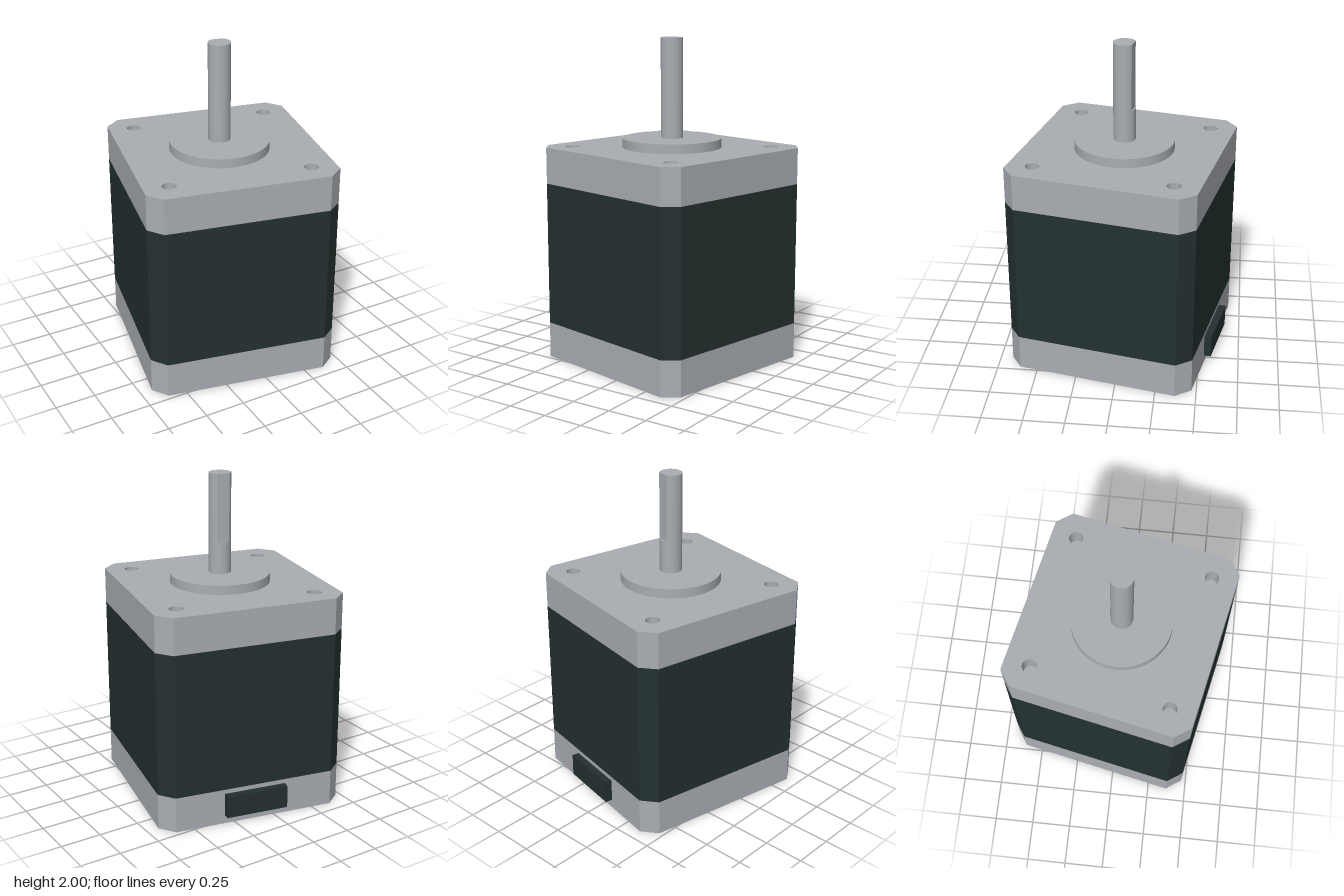
import * as THREE from 'three';
import { toCreasedNormals } from 'three/addons/utils/BufferGeometryUtils.js';

const HALF = 0.585;      // half width of the square housing
const CHAMFER = 0.084;   // corner cut
const HOLE = 0.431;      // screw hole offset from the axis
const HOLE_R = 0.043;
const CAP_Y = 1.11, TOP_Y = 1.333, HOLE_FLOOR = 1.21;
const SHAFT_R = 0.068, FLAT = 0.056, FLAT_Y = 1.59;

// Square outline with cut corners
function housingShape() {
  const a = HALF, b = HALF - CHAMFER;
  return new THREE.Shape([
    [b, -a], [a, -b], [a, b], [b, a], [-b, a], [-a, b], [-a, -b], [-b, -a],
  ].map(([x, y]) => new THREE.Vector2(x, y)));
}

// Extrude a plan outline upwards from y0 to y1
function prism(shape, y0, y1) {
  const g = new THREE.ExtrudeGeometry(shape, { depth: y1 - y0, bevelEnabled: false, curveSegments: 40 });
  g.rotateX(-Math.PI / 2).translate(0, y0, 0);
  return toCreasedNormals(g, 0.5);
}

function cylinder(r, y0, y1) {
  return new THREE.CylinderGeometry(r, r, y1 - y0, 64).translate(0, (y0 + y1) / 2, 0);
}

export function createModel() {
  const metal = new THREE.MeshStandardMaterial({ color: 0xa9adb2 });
  metal.name = 'brushed metal';
  const black = new THREE.MeshStandardMaterial({ color: 0x243030 });
  black.name = 'dark casing';

  const motor = new THREE.Group();
  motor.name = 'stepperMotor';
  const add = (name, geometry, material) => {
    const mesh = new THREE.Mesh(geometry, material);
    mesh.name = name;
    motor.add(mesh);
  };

  // Housing: end cap, laminated body, front cap with screw holes
  add('bottomCap', prism(housingShape(), 0, 0.222), metal);
  add('body', prism(housingShape(), 0.222, CAP_Y), black);
  const capShape = housingShape();
  for (const sx of [-1, 1]) for (const sz of [-1, 1]) {
    const hole = new THREE.Path();
    hole.absarc(sx * HOLE, sz * HOLE, HOLE_R, 0, Math.PI * 2, true);
    capShape.holes.push(hole);
    const floor = new THREE.CircleGeometry(HOLE_R, 40).rotateX(-Math.PI / 2);
    add('screwHoleFloor', floor.translate(sx * HOLE, HOLE_FLOOR, sz * HOLE), metal);
  }
  add('topCap', prism(capShape, CAP_Y, TOP_Y), metal);

  // Raised pilot ring and shaft with a flat on its rear side
  add('pilotDisc', cylinder(0.305, TOP_Y, 1.39), metal);
  add('shaftBase', cylinder(SHAFT_R, 1.39, FLAT_Y), metal);
  const a = Math.asin(FLAT / SHAFT_R);
  const dShape = new THREE.Shape();
  dShape.absarc(0, 0, SHAFT_R, Math.PI - a, Math.PI * 2 + a, false);
  dShape.closePath();
  add('shaftFlatted', prism(dShape, FLAT_Y, 2), metal);

  // Cable connector at the back
  add('connector', new THREE.BoxGeometry(0.388, 0.14, 0.06).translate(0, 0.125, -0.599), black);

  // The whole motor is turned slightly about its axis
  motor.rotation.y = -0.206;
  const root = new THREE.Group();
  root.name = 'model';
  root.add(motor);
  return root;
}
